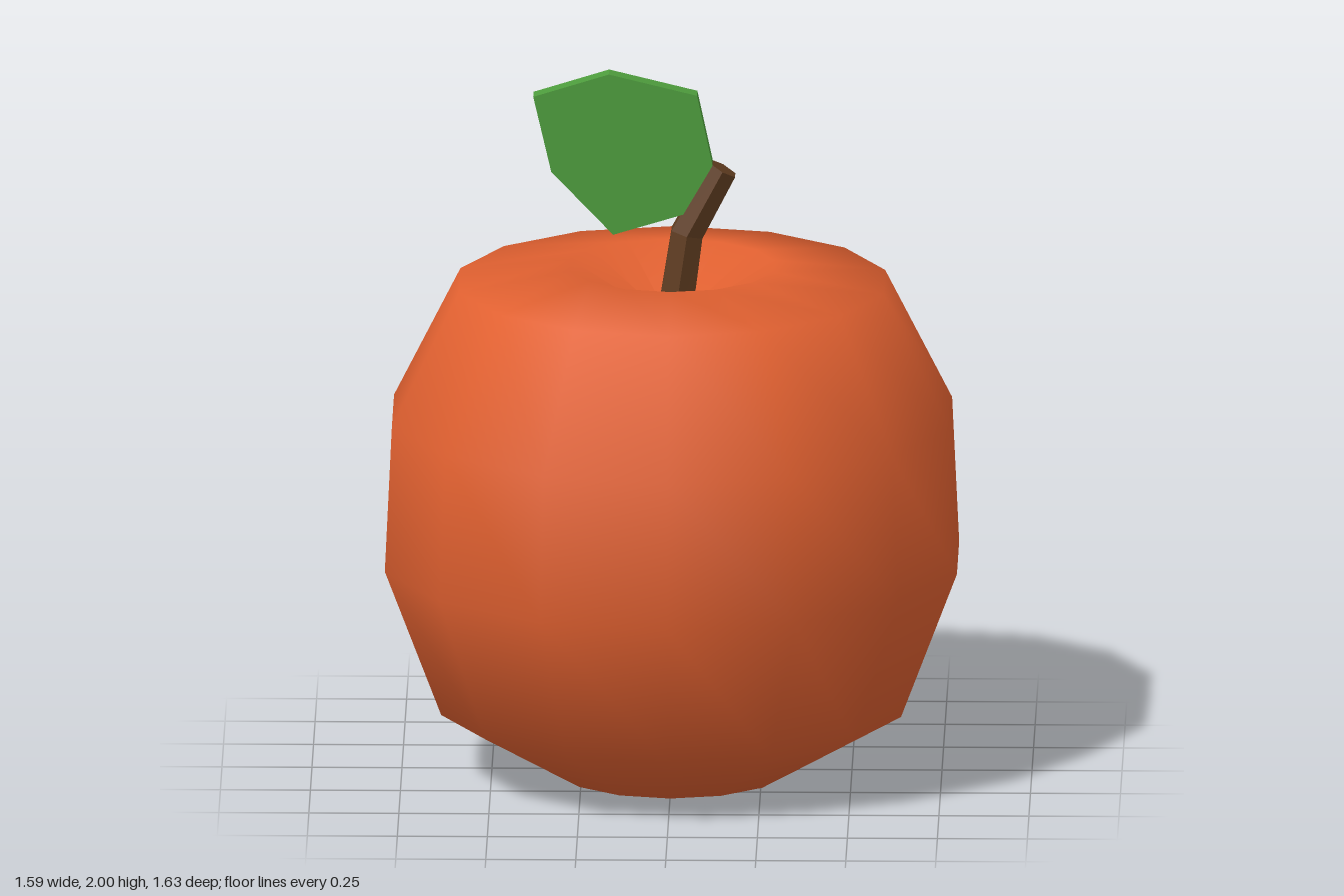
import * as THREE from 'three';

export function createModel() {
  const group = new THREE.Group();
  const skin = new THREE.MeshStandardMaterial({ color: 0xe06030 });
  skin.name = 'orange skin';
  const bark = new THREE.MeshStandardMaterial({ color: 0x5f3c20, flatShading: true });
  bark.name = 'brown bark';
  const green = new THREE.MeshStandardMaterial({ color: 0x4e9d3d, flatShading: true });
  green.name = 'leaf green';

  const add = (name, geometry, material) => {
    const mesh = new THREE.Mesh(geometry, material);
    mesh.name = name;
    group.add(mesh);
  };

  // Fruit: 14-sided smooth lathe, dimpled at the bottom and top
  const profile = [
    [0, 0.09], [0.325, 0], [0.655, 0.19], [0.815, 0.61],
    [0.795, 1.025], [0.605, 1.4], [0.29, 1.445], [0, 1.28],
  ].map(([r, y]) => new THREE.Vector2(r, y));
  add('fruit', new THREE.LatheGeometry(profile, 14), skin);

  // Stem: hexagonal cylinder whose three rings are moved onto a bent path
  const rings = [
    { x: 0, y: 1.25, tilt: 0.14 },
    { x: 0.042, y: 1.54, tilt: 0.25 },
    { x: 0.141, y: 1.725, tilt: 0.52 },
  ];
  const stem = new THREE.CylinderGeometry(0.046, 0.056, 2, 6, 2);
  const pos = stem.attributes.position;
  for (let i = 0; i < pos.count; i++) {
    const ring = rings[Math.round(pos.getY(i) + 1)];
    const x = pos.getX(i);
    pos.setXY(i, ring.x + x * Math.cos(ring.tilt), ring.y - x * Math.sin(ring.tilt));
  }
  stem.computeVertexNormals();
  add('stem', stem, bark);

  // Leaf: thick seven-sided plate beside the stem
  const outline = [
    [-0.163, 1.54], [0.036, 1.6], [0.113, 1.74], [0.07, 1.94],
    [-0.175, 2], [-0.385, 1.935], [-0.335, 1.72],
  ].map(([x, y]) => new THREE.Vector2(x, y));
  const leaf = new THREE.ExtrudeGeometry(new THREE.Shape(outline), { depth: 0.056, bevelEnabled: false });
  leaf.translate(0, 0, -0.028);
  add('leaf', leaf, green);

  return group;
}
